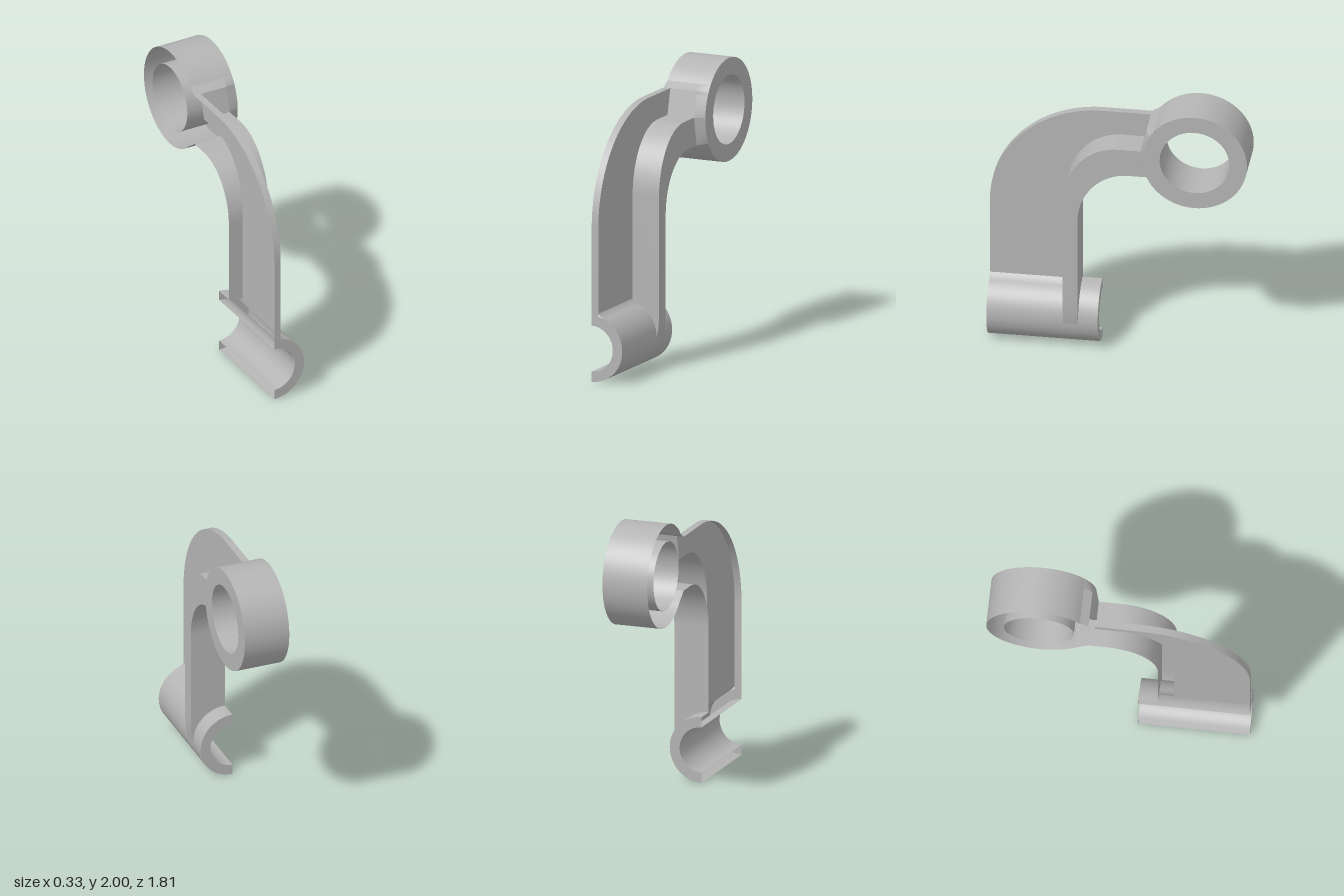
import * as THREE from 'three';

const metal = new THREE.MeshStandardMaterial({ color: 0xb4b4b4, side: THREE.DoubleSide });
metal.name = 'plainGrey';

// Key planes along x: open edge, web plate, rib face, ring face
const X0 = -0.163, XW = -0.113, XR = 0.087, X1 = 0.163;
const ZF = 0.905, ZB = 0.14, RIB_OUT = 0.378, RIB_IN = 0.275;
const RING = { z: -0.54, y: 1.64, r: 0.36, hole: 0.24 };
const PIPE = { y: 0.233, r: 0.232, bore: 0.16 };

// Smooth surface between two matching 3D polylines
function loft(a, b) {
  const g = new THREE.BufferGeometry();
  const index = [];
  for (let i = 0; i < a.length - 1; i++) {
    const n = a.length;
    index.push(i, i + 1, n + i, i + 1, n + i + 1, n + i);
  }
  g.setAttribute('position', new THREE.Float32BufferAttribute([...a, ...b].flat(), 3));
  g.setIndex(index);
  g.computeVertexNormals();
  return g;
}

// Wall standing on a [z, y] path, running along x
const wallX = (path, xa, xb) =>
  loft(path.map(([z, y]) => [xa, y, z]), path.map(([z, y]) => [xb, y, z]));

// Wall standing on an [x, y] path, running along z
const wallZ = (path, za, zb) =>
  loft(path.map(([x, y]) => [x, y, za]), path.map(([x, y]) => [x, y, zb]));

const shapeOf = (pts) => new THREE.Shape(pts.map(([u, v]) => new THREE.Vector2(u, v)));

// Flat face from a [z, y] outline, facing +x
const faceX = (pts, x) =>
  new THREE.ShapeGeometry(shapeOf(pts.map(([z, y]) => [-z, y]))).rotateY(Math.PI / 2).translate(x, 0, 0);

// Flat face from an [x, y] outline, facing +z or -z
function faceZ(pts, z, back = false) {
  const g = new THREE.ShapeGeometry(shapeOf(back ? pts.map(([x, y]) => [-x, y]) : pts));
  if (back) g.rotateY(Math.PI);
  return g.translate(0, 0, z);
}

// Points on an elliptical arc
function arc(cu, cv, ru, rv, from, to, n) {
  return Array.from({ length: n + 1 }, (_, i) => {
    const t = from + (to - from) * i / n;
    return [cu + ru * Math.cos(t), cv + rv * Math.sin(t)];
  });
}

export function createModel() {
  const model = new THREE.Group();
  model.name = 'bracketArm';
  const groups = {};
  const add = (groupName, name, geometry) => {
    if (!groups[groupName]) {
      groups[groupName] = new THREE.Group();
      groups[groupName].name = groupName;
      model.add(groups[groupName]);
    }
    const mesh = new THREE.Mesh(geometry, metal);
    mesh.name = name;
    groups[groupName].add(mesh);
  };
  const H = Math.PI / 2;

  // Neck corners where the arm meets the ring
  const neck = [[-0.26, 1.866], [-0.2, 1.83], [-0.157, 1.652], [-0.2, 1.45], [-0.28, 1.388]];

  // Curves of the arm, from the bottom up and over to the neck
  const plateEdge = [[ZF, 0.45], ...arc(0.13, 1.07, 0.775, 0.76, 0, H, 32), neck[1]];
  const ribOuter = [[RIB_OUT, 0.48], ...arc(0, 1.2, RIB_OUT, 0.452, 0, H, 24), neck[2]];
  const ribInner = [[RIB_IN, 0.48], ...arc(-0.073, 1.06, 0.348, 0.39, 0, H, 24), neck[3]];

  // Web plate with its outer rim
  add('arm', 'webPlate', faceX([[ZF, 0.48], ...plateEdge.slice(1), ...[...ribOuter].reverse()], XW));
  add('arm', 'plateRim', wallX(plateEdge, X0, XW));

  // Raised rib
  add('arm', 'ribFace', faceX([...ribOuter, ...[...ribInner].reverse()], XR));
  add('arm', 'ribOuterWall', wallX(ribOuter, XW, XR));
  add('arm', 'ribInnerWall', wallX(ribInner, X0, XR));

  // Rib foot blending down onto the half pipe
  const toe = [[XR, 0.48], [XR, 0.36], [0.081, 0.28], [0.064, 0.2]];
  const seat = arc(X0, PIPE.y, PIPE.r, PIPE.r, 0, 1.35, 10);
  add('arm', 'ribToe', wallZ(toe, RIB_OUT, RIB_IN));
  add('arm', 'ribFootFront', faceZ([...toe, ...seat, [XW, 0.48]], RIB_OUT));
  add('arm', 'ribFootBack', faceZ([...toe, ...seat, [X0, PIPE.y + PIPE.r], [X0, 0.48]], RIB_IN, true));

  // Half pipe, open towards -x
  const bore = arc(X0, PIPE.y, PIPE.bore, PIPE.bore, -H, H, 32);
  const shell = arc(X0, PIPE.y, PIPE.r, PIPE.r, -H, H, 40);
  const underPlate = [...arc(X0, PIPE.y, PIPE.r, PIPE.r, -H, 1.2, 36), [XW + 0.012, 0.466], [XW, 0.48]];
  const halfRing = [...shell, ...[...bore].reverse()];
  add('halfPipe', 'pipeBore', wallZ(bore, ZB, ZF));
  add('halfPipe', 'pipeShellFront', wallZ(underPlate, ZF, RIB_IN));
  add('halfPipe', 'pipeShellBack', wallZ(shell, RIB_IN, ZB));
  add('halfPipe', 'pipeFrontEnd', faceZ(halfRing, ZF));
  add('halfPipe', 'pipeBackEnd', faceZ(halfRing, ZB, true));

  // Ring: outer wall leaves a gap for the neck
  const angle = ([z, y]) => Math.atan2(y - RING.y, z - RING.z);
  const circle = (r, a, b, n) => arc(RING.z, RING.y, r, r, a, b, n);
  const top = angle(neck[0]), low = angle(neck[4]);
  add('ring', 'ringOuterWall', wallX(circle(RING.r, top, low + 4 * H, 60), X0, X1));
  add('ring', 'ringBore', wallX(circle(RING.hole, 0, 4 * H, 64), X0, X1));
  const face = new THREE.RingGeometry(RING.hole, RING.r, 72);
  add('ring', 'ringFace', face.rotateY(H).translate(X1, RING.y, RING.z));

  // Neck flare joining the arm to the ring
  add('neck', 'neckTop', wallX([neck[0], neck[1]], X0, XR));
  add('neck', 'neckShoulder', wallX([neck[1], neck[2]], XW, XR));
  add('neck', 'neckBottom', wallX([neck[3], neck[4]], X0, XR));
  for (let i = 0; i < 4; i++) {
    const [p, q] = [neck[i], neck[i + 1]];
    const n = 6;
    const line = Array.from({ length: n + 1 }, (_, k) => [
      p[0] + (q[0] - p[0]) * k / n, p[1] + (q[1] - p[1]) * k / n]);
    const rim = line.map((pt) => {
      const a = angle(pt);
      return [X1, RING.y + RING.r * Math.sin(a), RING.z + RING.r * Math.cos(a)];
    });
    add('neck', 'neckTaper', loft(line.map(([z, y]) => [XR, y, z]), rim));
  }

  return model;
}
